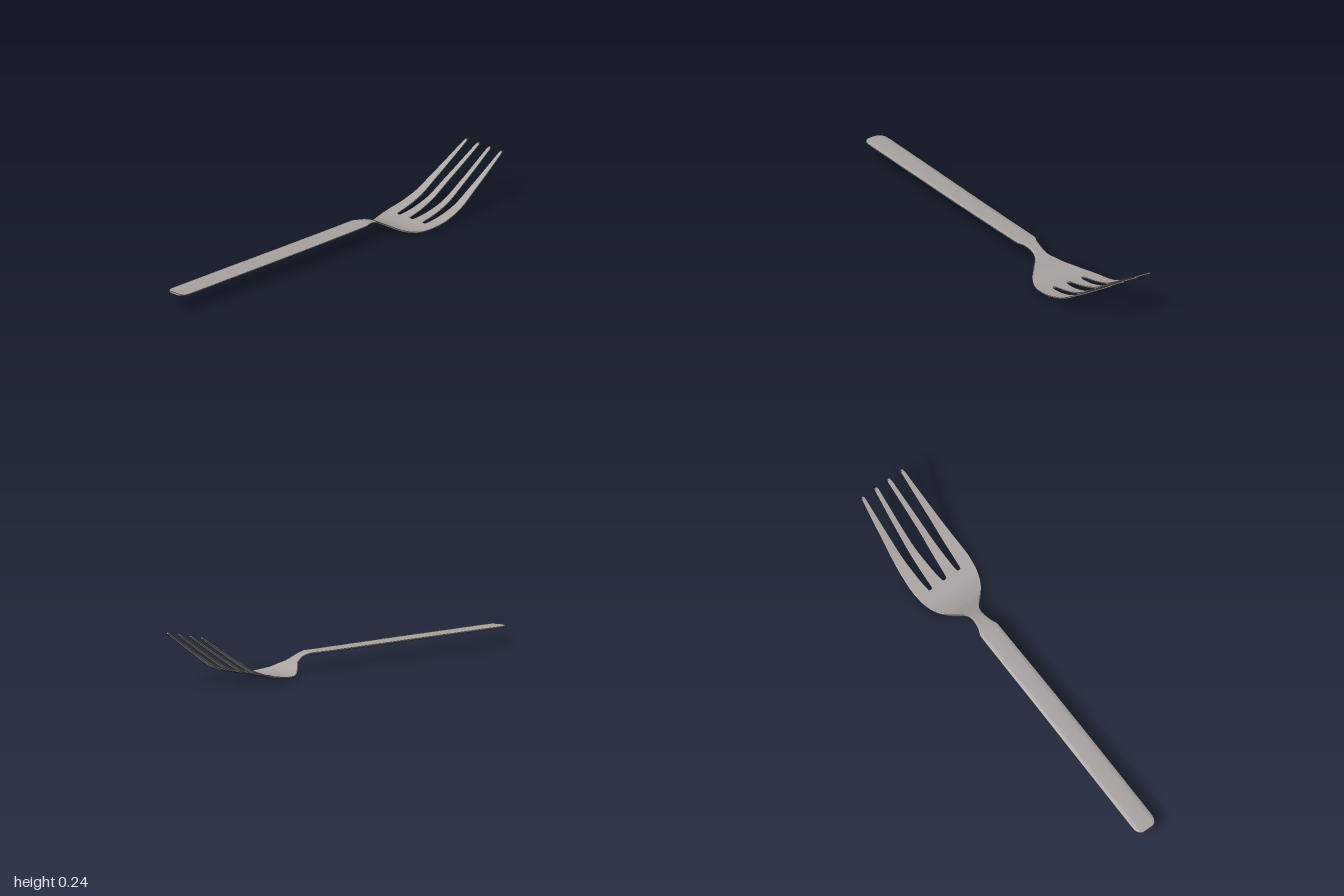
import * as THREE from 'three';
import { toCreasedNormals } from 'three/addons/utils/BufferGeometryUtils.js';

// Smooth interpolation through [x, value] knots without overshoot
function smooth(knots) {
  const n = knots.length;
  const slope = knots.slice(1).map((k, i) => (k[1] - knots[i][1]) / (k[0] - knots[i][0]));
  const tangent = knots.map((_, i) => {
    if (i === 0) return slope[0];
    if (i === n - 1) return slope[n - 2];
    const a = slope[i - 1], b = slope[i];
    return a * b <= 0 ? 0 : (2 * a * b) / (a + b);
  });
  return (x) => {
    let i = 0;
    while (i < n - 2 && x > knots[i + 1][0]) i++;
    const h = knots[i + 1][0] - knots[i][0];
    const t = THREE.MathUtils.clamp((x - knots[i][0]) / h, 0, 1);
    const t2 = t * t, t3 = t2 * t;
    return (2 * t3 - 3 * t2 + 1) * knots[i][1] + (t3 - 2 * t2 + t) * h * tangent[i]
      + (3 * t2 - 2 * t3) * knots[i + 1][1] + (t3 - t2) * h * tangent[i + 1];
  };
}

// Side profile of the bent sheet
const spine = smooth([[-1, 0.082], [0.1, 0.082], [0.2, 0.083], [0.24, 0.08], [0.28, 0.07], [0.33, 0.045],
  [0.385, 0.017], [0.45, 0.006], [0.57, 0.018], [0.68, 0.047], [0.81, 0.119], [1, 0.237]]);
// Half width of the whole outline
const halfWidth = smooth([[-1, 0.03], [-0.992, 0.042], [-0.97, 0.053], [-0.94, 0.055], [0.19, 0.05], [0.23, 0.036],
  [0.28, 0.029], [0.31, 0.035], [0.345, 0.066], [0.4, 0.112], [0.45, 0.137], [0.5, 0.15], [0.57, 0.156],
  [0.65, 0.152], [0.8, 0.138], [1, 0.118]]);
// The handle sits slightly off centre towards its end
const shift = smooth([[-1, 0.005], [-0.3, 0.004], [0.15, 0]]);
const camber = smooth([[-1, 0.0012], [0.15, 0.0012], [0.35, 0]]);

// Edges of the slots between the tines
const ROOT = 0.525;
const slotMiddle = smooth([[ROOT, 0.01], [0.6, 0.018], [0.77, 0.028], [1, 0.025]]);
const slotInner = smooth([[ROOT, 0.07], [0.6, 0.067], [0.77, 0.06], [1, 0.046]]);
const slotOuter = smooth([[ROOT, 0.088], [0.6, 0.094], [0.77, 0.1], [1, 0.1]]);
const round = (u) => { const c = THREE.MathUtils.clamp(u, 0, 1); return Math.sqrt(c * (2 - c)); };

// Closed strip of sheet metal between two edges lo(x) and hi(x)
function strip(x0, x1, steps, edges) {
  const cols = [-1, -0.6, -0.25, 0, 0.25, 0.6, 1];
  const pos = [], index = [];
  const ring = (cols.length + 2) * 2;
  for (let i = 0; i <= steps; i++) {
    const x = x0 + (x1 - x0) * (0.5 - 0.5 * Math.cos(Math.PI * i / steps));
    const [lo, hi] = edges(x);
    const mid = (lo + hi) / 2, half = (hi - lo) / 2;
    const inset = Math.min(0.003, half * 0.3);
    const d = (spine(x + 0.002) - spine(x - 0.002)) / 0.004;
    const k = x > 0.995 ? (spine(1) - spine(0.99)) / 0.01 : d;
    const len = Math.hypot(1, k);
    const top = [[-half, 0.0025],
      ...cols.map((s) => [s * (half - inset), 0.0042 + camber(x) * (1 - s * s)]), [half, 0.0025]];
    const loop = [...top, ...top.map(([z, h]) => [z, -h]).reverse()];
    for (const [z, h] of loop) pos.push(x - h * k / len, spine(x) + h / len, mid + z);
  }
  for (let i = 0; i < steps; i++) {
    for (let j = 0; j < ring; j++) {
      const a = i * ring + j, b = i * ring + (j + 1) % ring;
      index.push(a, b, a + ring, b, b + ring, a + ring);
    }
  }
  const last = steps * ring;
  for (let j = 1; j < ring - 1; j++) index.push(0, j + 1, j, last, last + j, last + j + 1);
  const g = new THREE.BufferGeometry();
  g.setAttribute('position', new THREE.Float32BufferAttribute(pos, 3));
  g.setIndex(index);
  return toCreasedNormals(g, 0.5);
}

export function createModel() {
  const group = new THREE.Group();
  group.name = 'fork';
  const steel = new THREE.MeshStandardMaterial({ color: 0xa8a2a0 });
  steel.name = 'steel';
  const add = (name, geometry) => {
    const mesh = new THREE.Mesh(geometry, steel);
    mesh.name = name;
    group.add(mesh);
  };

  // Handle, neck and bowl in one sheet
  add('handleAndBowl', strip(-1, ROOT, 130, (x) => [shift(x) - halfWidth(x), shift(x) + halfWidth(x)]));

  // Four tines: slots open with a round root, tips close with a round end
  const tine = (inner, outer, innerRoot, outerRoot) => (x) => {
    const open = round((x - ROOT) / 0.014);
    const a = THREE.MathUtils.lerp(innerRoot, inner(x), open);
    const b = outerRoot === null ? outer(x) : THREE.MathUtils.lerp(outerRoot, outer(x), open);
    const mid = (a + b) / 2;
    const half = (b - a) / 2 * (0.4 + 0.6 * round((1 - x) / 0.018));
    return [mid - half, mid + half];
  };
  const innerTine = tine(slotMiddle, slotInner, 0, 0.079);
  const outerTine = tine(slotOuter, halfWidth, 0.079, null);
  for (const [name, edges] of [['innerTine', innerTine], ['outerTine', outerTine]]) {
    add(name + 'Front', strip(ROOT, 1, 44, edges));
    add(name + 'Back', strip(ROOT, 1, 44, (x) => { const [a, b] = edges(x); return [-b, -a]; }));
  }
  return group;
}
